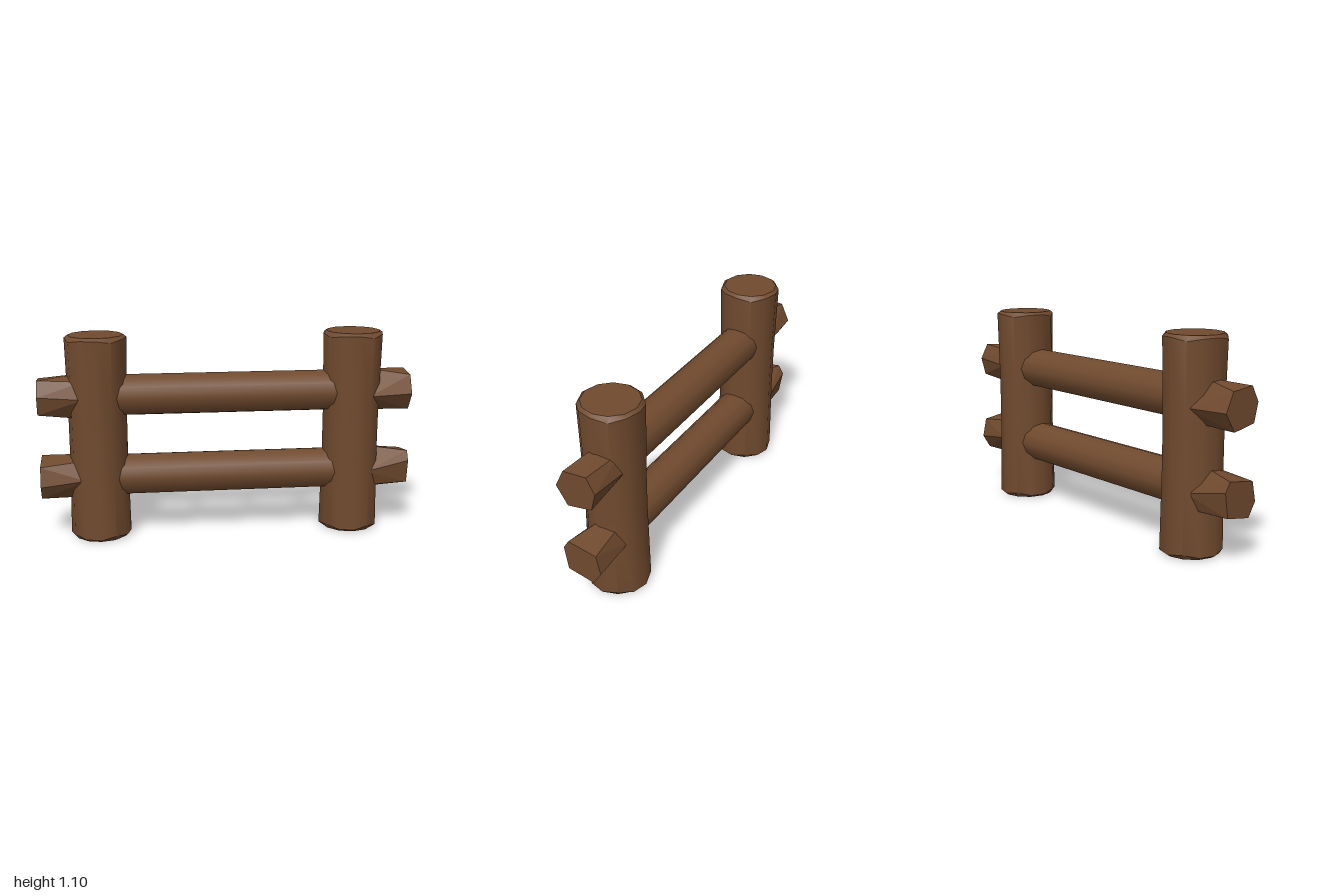
import * as THREE from 'three';
import { toCreasedNormals } from 'three/addons/utils/BufferGeometryUtils.js';
import { ConvexGeometry } from 'three/addons/geometries/ConvexGeometry.js';

const POST_X = 0.69;

// Upright log: slightly waisted, with roughly chopped edges at both ends
function postGeometry() {
  const profile = [
    [0, 0], [0.145, 0], [0.163, 0.018], [0.155, 0.45],
    [0.155, 0.7], [0.163, 1.082], [0.145, 1.1], [0, 1.1],
  ].map(([r, y]) => new THREE.Vector2(r, y));
  const geo = new THREE.LatheGeometry(profile, 12);
  const pos = geo.attributes.position;
  for (let i = 0; i < pos.count; i++) {
    const x = pos.getX(i), y = pos.getY(i), z = pos.getZ(i);
    if (Math.hypot(x, z) < 0.16) continue;
    const chip = 0.009 * Math.sin(4 * Math.atan2(z, x) + 0.6);
    pos.setY(i, y > 0.5 ? y + chip : y - chip);
  }
  return toCreasedNormals(geo, 0.6);
}

// Hewn rail end: convex block from an inner ring to a rotated end face, as [z, y]
function stubGeometry(inner, end) {
  const ring = (pts, x) => pts.map(([z, y]) => new THREE.Vector3(x, y, z));
  return new ConvexGeometry([...ring(inner, 0.76), ...ring(end, 1)]);
}

const RAILS = [
  {
    name: 'lower', y: 0.335,
    inner: [[0, 0.12], [-0.075, 0.1], [-0.118, 0], [0, -0.122], [0.09, -0.085], [0.117, 0]],
    end: [[0.07, 0.1], [-0.09, 0.075], [-0.113, -0.03], [-0.067, -0.104], [0.08, -0.078], [0.1, 0.05]],
  },
  {
    name: 'upper', y: 0.775,
    inner: [[0.015, 0.118], [-0.085, 0.09], [-0.118, 0], [-0.04, -0.118], [0.06, -0.1], [0.122, -0.02]],
    end: [[0.064, 0.086], [-0.067, 0.099], [-0.111, 0.017], [-0.085, -0.082], [0.05, -0.108], [0.111, -0.012]],
  },
];

export function createModel() {
  const group = new THREE.Group();
  group.name = 'logFence';
  const wood = new THREE.MeshStandardMaterial({ color: 0x704a2e });
  wood.name = 'brown wood';

  const add = (name, geo) => {
    const mesh = new THREE.Mesh(geo, wood);
    mesh.name = name;
    group.add(mesh);
    return mesh;
  };

  // Posts, one turned half way round from the other
  const post = postGeometry();
  for (const side of [1, -1]) {
    const mesh = add(side > 0 ? 'leftPost' : 'rightPost', post);
    mesh.position.x = side * POST_X;
    mesh.rotation.y = side > 0 ? 0 : Math.PI;
  }

  // Rails between the posts and their ends poking out beyond
  const rail = new THREE.CylinderGeometry(0.111, 0.111, 2 * POST_X, 12, 1, true);
  rail.rotateZ(Math.PI / 2);
  for (const { name, y, inner, end } of RAILS) {
    add(name + 'Rail', rail).position.y = y;
    const stub = stubGeometry(inner, end);
    for (const side of [1, -1]) {
      const mesh = add(name + (side > 0 ? 'LeftRailEnd' : 'RightRailEnd'), stub);
      mesh.position.y = y;
      mesh.rotation.y = side > 0 ? 0 : Math.PI;
    }
  }
  return group;
}
